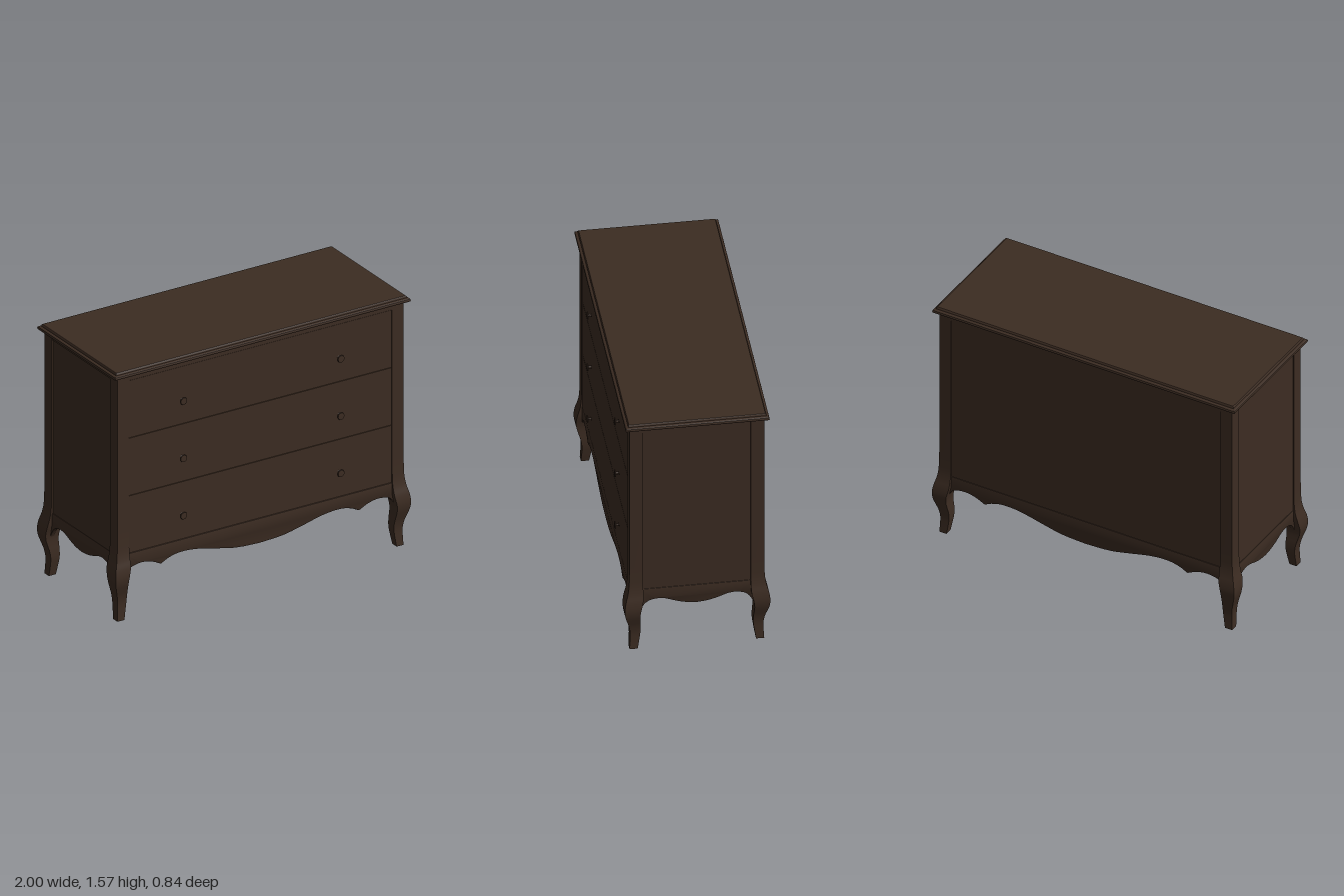
import * as THREE from 'three';
import { toCreasedNormals } from 'three/addons/utils/BufferGeometryUtils.js';

const wood = new THREE.MeshStandardMaterial({ color: 0x3c2c22 });
wood.name = 'dark wood';

const X = 0.968, Z = 0.389;      // body half width and half depth
const POST = 0.078;              // corner post width
const LOW = 0.41, HIGH = 1.5;    // panel bottom and top

// Skin through horizontal rings (clockwise seen from above), bottom to top
function loft(rings, crease) {
  const n = rings[0].length, index = [];
  for (let j = 0; j < rings.length - 1; j++) {
    for (let k = 0; k < n; k++) {
      const a = j * n + k, b = j * n + (k + 1) % n;
      index.push(a, a + n, b, b, a + n, b + n);
    }
  }
  const top = (rings.length - 1) * n;
  for (let k = 1; k < n - 1; k++) {
    index.push(0, k, k + 1, top, top + k + 1, top + k);
  }
  const geo = new THREE.BufferGeometry();
  geo.setAttribute('position', new THREE.Float32BufferAttribute(rings.flat(2), 3));
  geo.setIndex(index);
  return toCreasedNormals(geo, crease);
}

// Square corner post running down into a curved leg; origin at the body corner
function legGeometry() {
  const profile = [ // height, outer offset, inner offset
    [0, 0, -0.047], [0.05, -0.003, -0.055], [0.11, -0.004, -0.063], [0.16, 0.004, -0.063],
    [0.2, 0.016, -0.06], [0.24, 0.027, -0.059], [0.28, 0.031, -0.064], [0.33, 0.025, -0.075],
    [0.38, 0.012, -POST], [0.43, 0.004, -POST], [0.5, 0.001, -POST], [0.56, 0, -POST],
  ];
  const curve = new THREE.CatmullRomCurve3(profile.map(([y, o, i]) => new THREE.Vector3(o, y, i)));
  const rows = curve.getPoints(44);
  rows.push(new THREE.Vector3(0, 1.54, -POST));
  return loft(rows.map(({ x: o, y, z: i }) => [[i, y, i], [o, y, i], [o, y, o], [i, y, o]]), 0.5);
}

// Scalloped apron; each run is a smooth half curve from the centre outward
function apronGeometry(runs) {
  const half = runs.flatMap((run) =>
    new THREE.SplineCurve(run.map(([x, y]) => new THREE.Vector2(x, y))).getPoints(16));
  const end = half[half.length - 1].x;
  const left = half.slice(1).reverse().map((p) => new THREE.Vector2(-p.x, p.y));
  const outline = [new THREE.Vector2(-end, LOW + 0.004), ...left, ...half, new THREE.Vector2(end, LOW + 0.004)]
    .filter((p, i, all) => i === 0 || p.distanceTo(all[i - 1]) > 1e-5);
  const geo = new THREE.ExtrudeGeometry(new THREE.Shape(outline), {
    depth: 0.018, bevelThickness: 0.006, bevelSize: 0.006, bevelOffset: -0.006, bevelSegments: 2,
  });
  geo.translate(0, -0.005, -0.024); // outer face at z = 0
  return toCreasedNormals(geo, 0.5);
}

export function createModel() {
  const model = new THREE.Group();
  const add = (name, geo, x = 0, y = 0, z = 0, turn = 0) => {
    const mesh = new THREE.Mesh(geo, wood);
    mesh.name = name;
    mesh.position.set(x, y, z);
    mesh.rotation.y = turn;
    model.add(mesh);
  };
  const box = (name, w, h, d, x, y, z) => add(name, new THREE.BoxGeometry(w, h, d), x, y, z);

  // Four legs, turned a quarter at each corner
  const leg = legGeometry();
  [[1, 1], [1, -1], [-1, -1], [-1, 1]].forEach(([sx, sz], k) =>
    add('cornerLeg', leg, sx * X, 0, sz * Z, k * Math.PI / 2));

  // Top board: rounded edge below a small raised step
  const edge = [[1.533, 0.01], [1.536, 0.003], [1.544, 0], [1.552, 0.002], [1.556, 0.008],
    [1.558, 0.017], [1.566, 0.018], [1.571, 0.022]];
  add('topBoard', loft(edge.map(([y, inset]) => {
    const x = 1 - inset, z = 0.416 - inset;
    return [[-x, y, -z], [x, y, -z], [x, y, z], [-x, y, z]];
  }), 0.6));

  // Aprons on all four sides
  const longApron = apronGeometry([
    [[0, 0.258], [0.15, 0.266], [0.27, 0.29], [0.42, 0.325], [0.53, 0.335], [0.61, 0.322], [0.67, 0.294]],
    [[0.67, 0.294], [0.73, 0.322], [0.79, 0.335], [0.85, 0.329], [0.885, 0.312], [0.91, 0.27]],
  ]);
  const shortApron = apronGeometry([
    [[0, 0.29], [0.06, 0.296], [0.12, 0.312], [0.18, 0.334], [0.23, 0.339], [0.28, 0.326],
      [0.31, 0.295], [0.33, 0.255]],
  ]);
  for (const s of [1, -1]) {
    add('longApron', longApron, 0, 0, s * (Z - 0.003), s > 0 ? 0 : Math.PI);
    add('sideApron', shortApron, s * (X - 0.003), 0, 0, s * Math.PI / 2);
  }

  // Top rails and recessed panels; the body is open underneath
  const railH = 1.537 - HIGH, railY = (1.537 + HIGH) / 2;
  const w = 2 * (X - POST), d = 2 * (Z - POST), h = HIGH - LOW, midY = (HIGH + LOW) / 2;
  for (const s of [1, -1]) {
    box('longRail', w + 0.02, railH, 0.04, 0, railY, s * (Z - 0.022));
    box('sideRail', 0.03, railH, d + 0.02, s * (X - 0.017), railY, 0);
    box('sidePanel', 0.025, h + 0.01, d + 0.02, s * (X - 0.0195), midY, 0);
  }
  box('backPanel', w + 0.02, h + 0.01, 0.035, 0, midY, -(Z - 0.0245));
  box('frontBacking', w + 0.02, h + 0.01, 0.035, 0, midY, Z - 0.0275);

  // Three drawers, each with two turned knobs
  const lathe = new THREE.LatheGeometry([
    [0.012, 0], [0.008, 0.003], [0.008, 0.018], [0.021, 0.02],
    [0.023, 0.023], [0.021, 0.027], [0, 0.028],
  ].map(([r, y]) => new THREE.Vector2(r, y)), 20);
  lathe.rotateX(Math.PI / 2);
  const knob = toCreasedNormals(lathe, 0.7);
  const pitch = h / 3, face = Z - 0.004;
  for (let i = 0; i < 3; i++) {
    box('drawerFront', w - 0.003, pitch - 0.004, 0.02, 0, LOW + pitch * (i + 0.5), face - 0.01);
    for (const s of [1, -1]) add('knob', knob, s * 0.532, 0.567 + i * 0.361, face);
  }
  return model;
}
